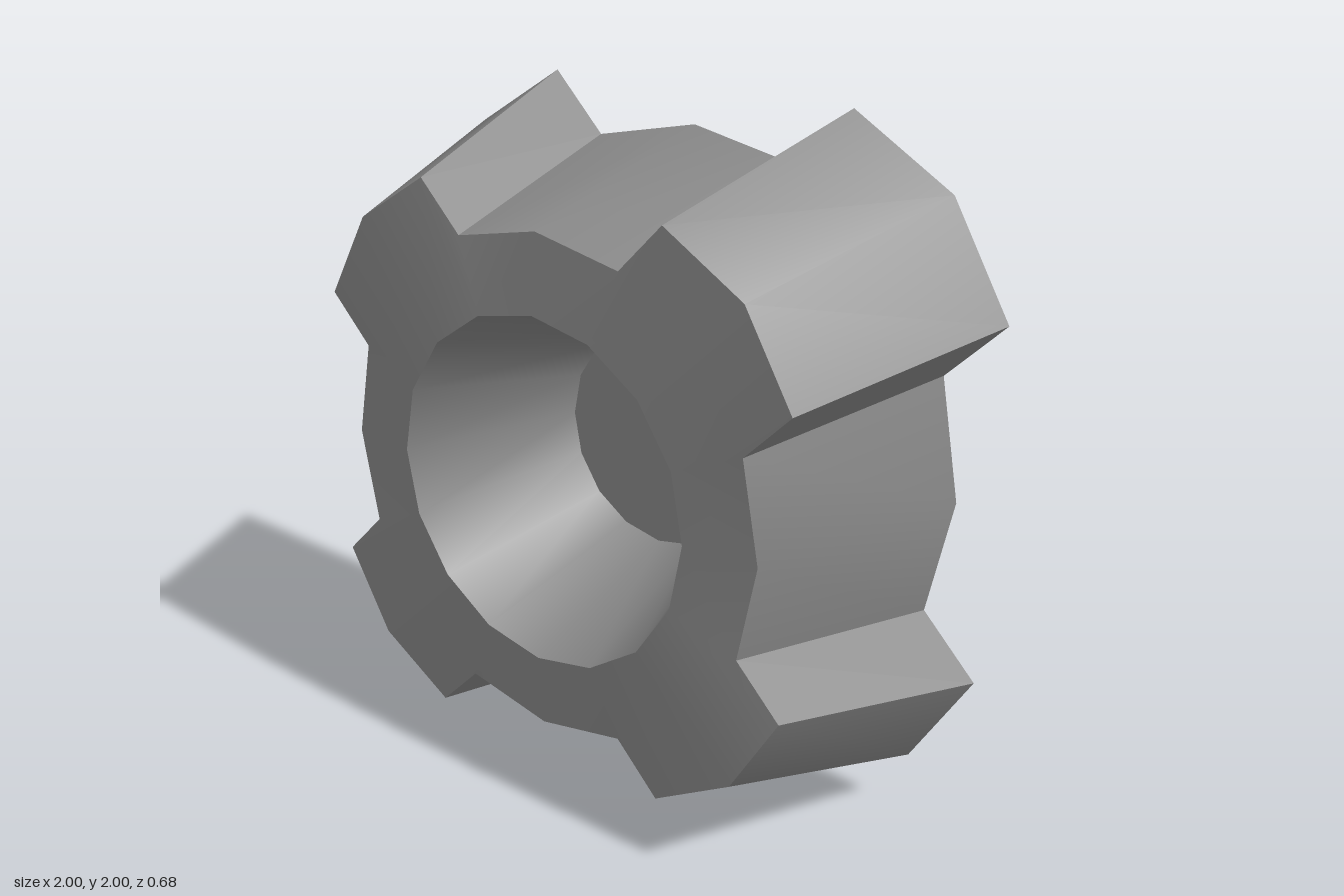
import * as THREE from 'three';
import { toCreasedNormals } from 'three/addons/utils/BufferGeometryUtils.js';

const FRONT = 0.32, BACK = -0.34, TAPER = 0.802, RING = 0.897;
const RIM = 0.502, RIM_Z = 0.34;
const STEP = Math.PI / 8; // 16-sided
const CREASE = THREE.MathUtils.degToRad(35);

const material = new THREE.MeshStandardMaterial({ color: 0x888888, side: THREE.DoubleSide });

function makeMesh(name, geometry) {
  const mesh = new THREE.Mesh(toCreasedNormals(geometry, CREASE), material);
  mesh.name = name;
  return mesh;
}

// Mesh from a list of triangle corners [x, y, z]
function triangleMesh(name, corners) {
  const geometry = new THREE.BufferGeometry();
  geometry.setAttribute('position', new THREE.Float32BufferAttribute(corners.flat(), 3));
  return makeMesh(name, geometry);
}

const onCircle = (radius, angle) => [radius * Math.cos(angle), radius * Math.sin(angle)];

// Back outline, counter-clockwise: ring points with a lobe on each diagonal
function backOutline() {
  const quarter = [
    onCircle(RING, 0), onCircle(RING, STEP),
    [0.998, 0.512], [0.817, 0.817], [0.512, 0.998],
    onCircle(RING, 3 * STEP),
  ];
  const points = [];
  for (let i = 0; i < 4; i++) {
    const c = Math.round(Math.cos(i * Math.PI / 2)), s = Math.round(Math.sin(i * Math.PI / 2));
    points.push(...quarter.map(([x, y]) => [c * x - s * y, s * x + c * y]));
  }
  return points;
}

export function createModel() {
  const knob = new THREE.Group();
  knob.name = 'knob';

  const outline = backOutline();
  const back = ([x, y]) => [x, y, BACK];
  const front = ([x, y]) => [x * TAPER, y * TAPER, FRONT];
  const rim = ([x, y]) => {
    const angle = Math.round(Math.atan2(y, x) / STEP) * STEP;
    return [...onCircle(RIM, angle), RIM_Z];
  };

  const wall = [], face = [], caps = [];
  outline.forEach((p, i) => {
    const q = outline[(i + 1) % outline.length];
    // Tapered wall, open at the back
    wall.push(back(p), back(q), front(q), back(p), front(q), front(p));

    // Front face rising gently to the recess rim
    const rp = rim(p), rq = rim(q);
    face.push(front(p), front(q), rq);
    if (Math.hypot(rp[0] - rq[0], rp[1] - rq[1]) > 0.01) face.push(front(p), rq, rp);

    // Flat cap behind each lobe; the lobe stays hollow towards the centre
    const side = i % 6;
    if (side > 0 && side < 5) {
      const hub = onCircle(RING, (Math.floor(i / 6) * 4 + 2) * STEP);
      caps.push(back(hub), back(q), back(p));
    }
  });
  knob.add(triangleMesh('outerWall', wall));
  knob.add(triangleMesh('frontFace', face));
  knob.add(triangleMesh('lobeBackCaps', caps));

  // Conical recess with a closed floor
  const profile = [[RIM, RIM_Z], [0.333, -0.2], [0, -0.2]].map(([r, z]) => new THREE.Vector2(r, z));
  knob.add(makeMesh('recess', new THREE.LatheGeometry(profile, 16).rotateX(Math.PI / 2)));

  knob.position.y = 1;
  const model = new THREE.Group();
  model.add(knob);
  return model;
}
